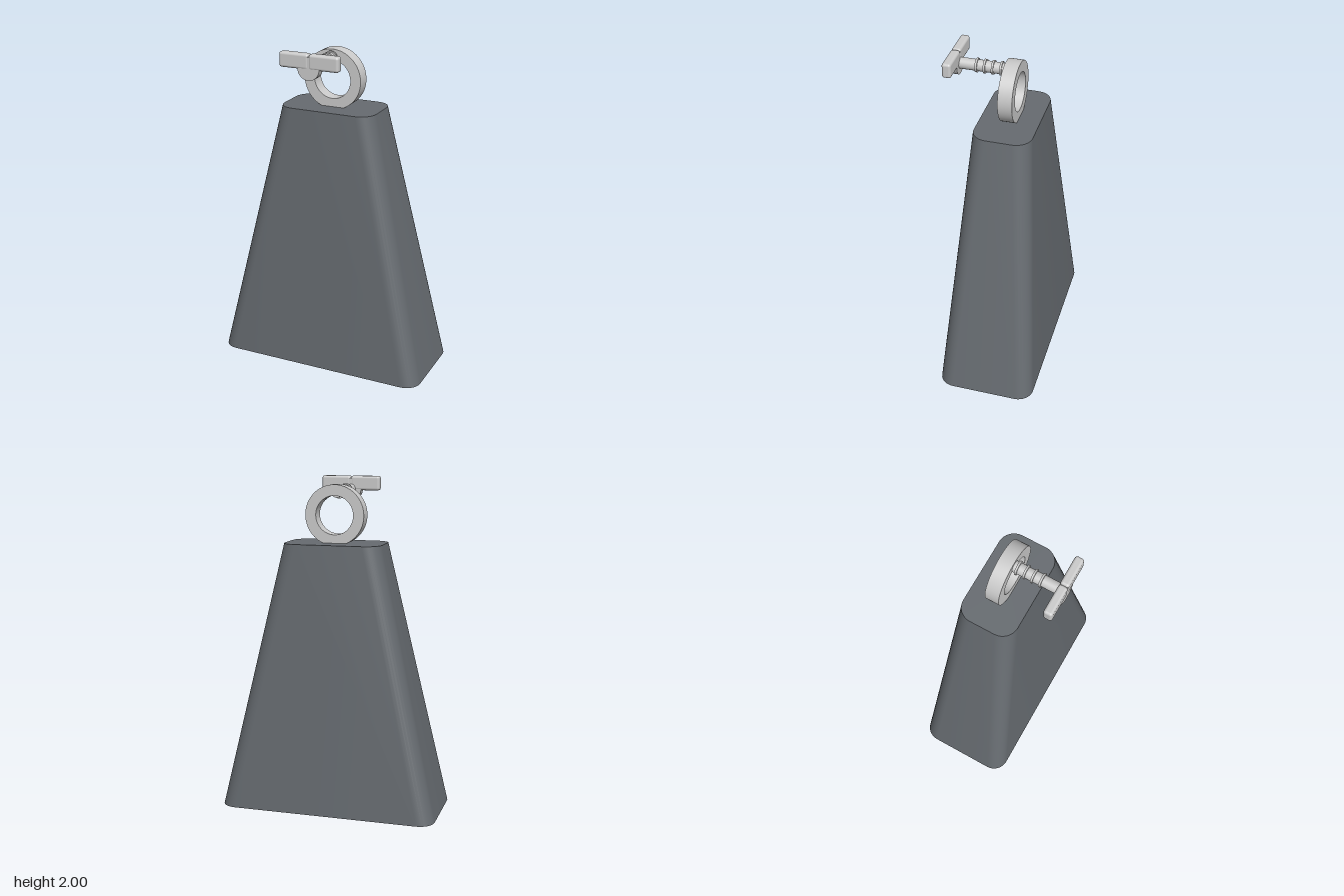
import * as THREE from 'three';
import { toCreasedNormals } from 'three/addons/utils/BufferGeometryUtils.js';
import { RoundedBoxGeometry } from 'three/addons/geometries/RoundedBoxGeometry.js';

const CORNER_STEPS = 8;
const CENTER_Z = -0.033;

// Rounded rectangle in the xz plane at height y
function section(y, halfX, halfZ, radius) {
  const points = [];
  for (let corner = 0; corner < 4; corner++) {
    const sx = corner === 0 || corner === 3 ? 1 : -1;
    const sz = corner < 2 ? 1 : -1;
    for (let i = 0; i <= CORNER_STEPS; i++) {
      const a = (corner + i / CORNER_STEPS) * Math.PI / 2;
      points.push([
        sx * (halfX - radius) + radius * Math.cos(a),
        y,
        CENTER_Z + sz * (halfZ - radius) + radius * Math.sin(a),
      ]);
    }
  }
  return points;
}

// Joins successive closed sections into one surface
function loft(sections) {
  const n = sections[0].length;
  const index = [];
  for (let k = 0; k < sections.length - 1; k++) {
    for (let i = 0; i < n; i++) {
      const a = k * n + i, c = k * n + (i + 1) % n;
      index.push(a, c, a + n, c, c + n, a + n);
    }
  }
  const geometry = new THREE.BufferGeometry();
  geometry.setAttribute('position', new THREE.Float32BufferAttribute(sections.flat(2), 3));
  geometry.setIndex(index);
  return toCreasedNormals(geometry, 0.5);
}

export function createModel() {
  const model = new THREE.Group();
  model.name = 'cowbell';
  const steel = new THREE.MeshStandardMaterial({ color: 0xcccccc });
  const darkMetal = new THREE.MeshStandardMaterial({ color: 0x666b70 });

  const add = (parent, name, geometry, material, x = 0, y = 0, z = 0) => {
    const mesh = new THREE.Mesh(geometry, material);
    mesh.name = name;
    mesh.position.set(x, y, z);
    parent.add(mesh);
    return mesh;
  };

  // Hollow tapered shell: top, outside, rim, inside, ceiling
  const wall = 0.016;
  add(model, 'bellBody', loft([
    section(1.62, 0, 0, 0),
    section(1.62, 0.297, 0.172, 0.095),
    section(0, 0.665, 0.294, 0.095),
    section(0, 0.665 - wall, 0.294 - wall, 0.095 - wall),
    section(1.62 - wall, 0.297 - wall, 0.172 - wall, 0.095 - wall),
    section(1.62 - wall, 0, 0, 0),
  ]), darkMetal);

  // Mounting ring, sunk slightly into the top
  const ring = new THREE.Shape().absarc(0, 0, 0.18, 0, Math.PI * 2);
  ring.holes.push(new THREE.Path().absarc(0, 0, 0.115, 0, Math.PI * 2, true));
  const ringGeometry = new THREE.ExtrudeGeometry(ring, { depth: 0.084, bevelEnabled: false, curveSegments: 32 });
  add(model, 'mountingRing', toCreasedNormals(ringGeometry, 0.5), steel, 0, 1.785, -0.077);

  // Wing bolt along z
  const bolt = new THREE.Group();
  bolt.name = 'wingBolt';
  bolt.position.y = 1.918;
  model.add(bolt);
  const rod = (name, radius, z0, z1) => {
    const geometry = new THREE.CylinderGeometry(radius, radius, z1 - z0, 32).rotateX(Math.PI / 2);
    add(bolt, name, geometry, steel, 0, 0, (z0 + z1) / 2);
  };
  rod('boltShaft', 0.033, -0.03, 0.29);
  for (let i = 0; i < 4; i++) rod('threadRidge', 0.041, 0.024 + i * 0.048, 0.036 + i * 0.048);
  rod('wingHub', 0.067, 0.274, 0.323);
  for (const side of [-1, 1]) {
    add(bolt, side > 0 ? 'leftWing' : 'rightWing',
      new RoundedBoxGeometry(0.183, 0.088, 0.053, 4, 0.015), steel, side * 0.0918, 0.038, 0.299);
  }
  return model;
}
